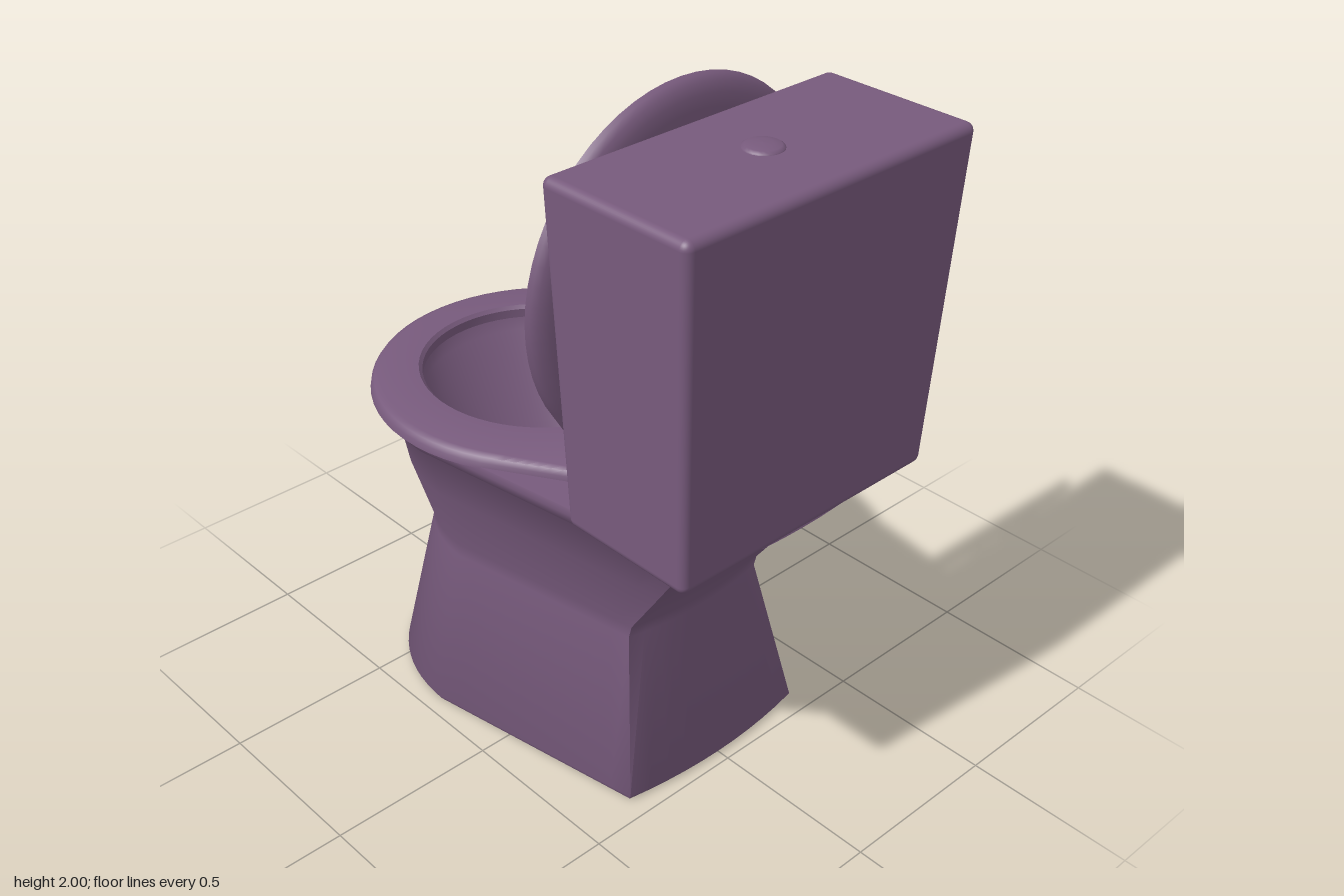
import * as THREE from 'three';
import { toCreasedNormals } from 'three/addons/utils/BufferGeometryUtils.js';
import { RoundedBoxGeometry } from 'three/addons/geometries/RoundedBoxGeometry.js';

const material = new THREE.MeshStandardMaterial({ color: 0x775a7c, side: THREE.DoubleSide });

// Skin between closed rings of equal point count, each running counterclockwise seen from above
function loft(rings, crease = 0.6) {
  const n = rings[0].length;
  const index = [];
  for (let j = 0; j < rings.length - 1; j++) {
    for (let i = 0; i < n; i++) {
      const k = (i + 1) % n;
      const a = j * n + i, b = j * n + k;
      index.push(a, b, b + n, a, b + n, a + n);
    }
  }
  const geometry = new THREE.BufferGeometry().setFromPoints(rings.flat());
  geometry.setIndex(index);
  return toCreasedNormals(geometry, crease);
}

// Plan outline: an arc round the bowl end, straight tapering sides and a slightly bowed hinge end.
// start is the angle past the half circle at which the arc meets the sides.
function outline(y, rx, rz, zc, start, endX, endZ, bow = 0) {
  const pts = [];
  const arc = 40, side = 10, end = 10;
  const at = (t) => [rx * Math.cos(t), zc - rz * Math.sin(t)];
  for (let i = 0; i <= arc; i++) {
    const [x, z] = at(-start + (Math.PI + 2 * start) * i / arc);
    pts.push(new THREE.Vector3(x, y, z));
  }
  const [sx, sz] = at(-start);
  const cz = endZ - bow;
  const lerp = THREE.MathUtils.lerp;
  for (let i = 1; i <= side; i++) {
    pts.push(new THREE.Vector3(-lerp(sx, endX, i / side), y, lerp(sz, cz, i / side)));
  }
  for (let i = 1; i <= end; i++) {
    const u = -1 + 2 * i / end;
    pts.push(new THREE.Vector3(endX * u, y, endZ - bow * u * u));
  }
  for (let i = 1; i < side; i++) {
    pts.push(new THREE.Vector3(lerp(endX, sx, i / side), y, lerp(cz, sz, i / side)));
  }
  return pts;
}

// Elliptical ring whose points line up with those of an outline
function ellipse(guide, y, zc, rx, rz, guideZ = -0.295) {
  return guide.map((p) => {
    const t = Math.atan2(p.z - guideZ, p.x);
    return new THREE.Vector3(rx * Math.cos(t), y, zc + rz * Math.sin(t));
  });
}

function add(group, name, geometry) {
  const mesh = new THREE.Mesh(geometry, material);
  mesh.name = name;
  group.add(mesh);
  return mesh;
}

export function createModel() {
  const model = new THREE.Group();
  model.name = 'toilet';

  // Pedestal, open below: y, half width, bowl end z, tank end z, tank end half width
  const pedestal = [
    [0, 0.445, -0.708, 0.46, 0.32],
    [0.015, 0.453, -0.716, 0.468, 0.325],
    [0.48, 0.35, -0.612, 0.372, 0.245],
    [0.52, 0.35, -0.615, 0.382, 0.245],
    [0.72, 0.407, -0.69, 0.525, 0.28],
    [0.865, 0.435, -0.713, 0.63, 0.315],
    [0.89, 0.465, -0.738, 0.68, 0.33],
    [0.925, 0.482, -0.752, 0.72, 0.34],
    [0.942, 0.478, -0.748, 0.715, 0.335],
  ].map(([y, w, zn, zp, cw]) => outline(y, w, -0.26 - zn, -0.26, 0, cw, zp, 0.03));

  // Bowl sinking towards the drain: y, centre z, radius in x, radius in z
  const rim = pedestal[pedestal.length - 1];
  const bowl = [
    [0.942, -0.295, 0.342, 0.355],
    [0.9, -0.285, 0.35, 0.345],
    [0.85, -0.262, 0.342, 0.318],
    [0.65, -0.2, 0.295, 0.275],
    [0.48, -0.11, 0.215, 0.19],
    [0.36, -0.03, 0.11, 0.09],
    [0.31, -0.01, 0.06, 0.05],
    [0.3, -0.01, 0, 0],
  ].map(([y, zc, rx, rz]) => ellipse(rim, y, zc, rx, rz));
  add(model, 'pedestalAndBowl', loft([...pedestal, ...bowl], 0.75));

  // Seat and lid share one outline, drawn in by an inset
  const seatOutline = (y, inset) =>
    outline(y, 0.505 - inset, 0.505 - inset, -0.267, 0.49, 0.275 - inset * 0.6, 0.25 - inset * 0.3);

  // Seat ring
  const low = seatOutline(0.938, 0);
  const lowHole = ellipse(low, 0.938, -0.295, 0.335, 0.348);
  add(model, 'seat', loft([
    low,
    seatOutline(0.955, 0.003),
    seatOutline(0.968, 0.012),
    seatOutline(0.975, 0.03),
    ellipse(low, 0.975, -0.295, 0.345, 0.358),
    ellipse(low, 0.965, -0.295, 0.335, 0.348),
    lowHole,
    low.map((p) => p.clone()),
  ]));

  // Raised lid, built closed and then swung up about the hinge line
  const closing = (y) => seatOutline(y, 0).map(() => new THREE.Vector3(0, y, -0.25));
  const lid = loft([
    closing(0.008),
    seatOutline(0.008, 0.03),
    seatOutline(0, 0.012),
    seatOutline(0, 0),
    seatOutline(0.014, 0.004),
    seatOutline(0.028, 0.018),
    seatOutline(0.038, 0.045),
    seatOutline(0.041, 0.08),
    closing(0.041),
  ]);
  lid.translate(0, 0, -0.25);
  const lidMesh = add(model, 'lid', lid);
  lidMesh.rotation.x = Math.PI / 2;
  lidMesh.position.set(0, 0.978, 0.25);

  // Cistern, narrowing towards its foot
  const height = 0.967;
  const tank = new RoundedBoxGeometry(0.98, height, 0.478, 4, 0.025);
  const pos = tank.attributes.position;
  for (let i = 0; i < pos.count; i++) {
    const t = 0.5 - pos.getY(i) / height;
    pos.setX(i, pos.getX(i) * (1 - 0.095 * t));
    pos.setZ(i, pos.getZ(i) * (1 - 0.135 * t));
  }
  const tankMesh = add(model, 'cistern', tank);
  tankMesh.position.set(0, 0.938 + height / 2, 0.532);

  // Flush button
  const profile = [[0.055, 0], [0.053, 0.006], [0.045, 0.011], [0.025, 0.014], [0, 0.015]];
  const button = add(model, 'flushButton',
    new THREE.LatheGeometry(profile.map(([r, y]) => new THREE.Vector2(r, y)), 24));
  button.position.set(0, 1.902, 0.525);

  return model;
}
